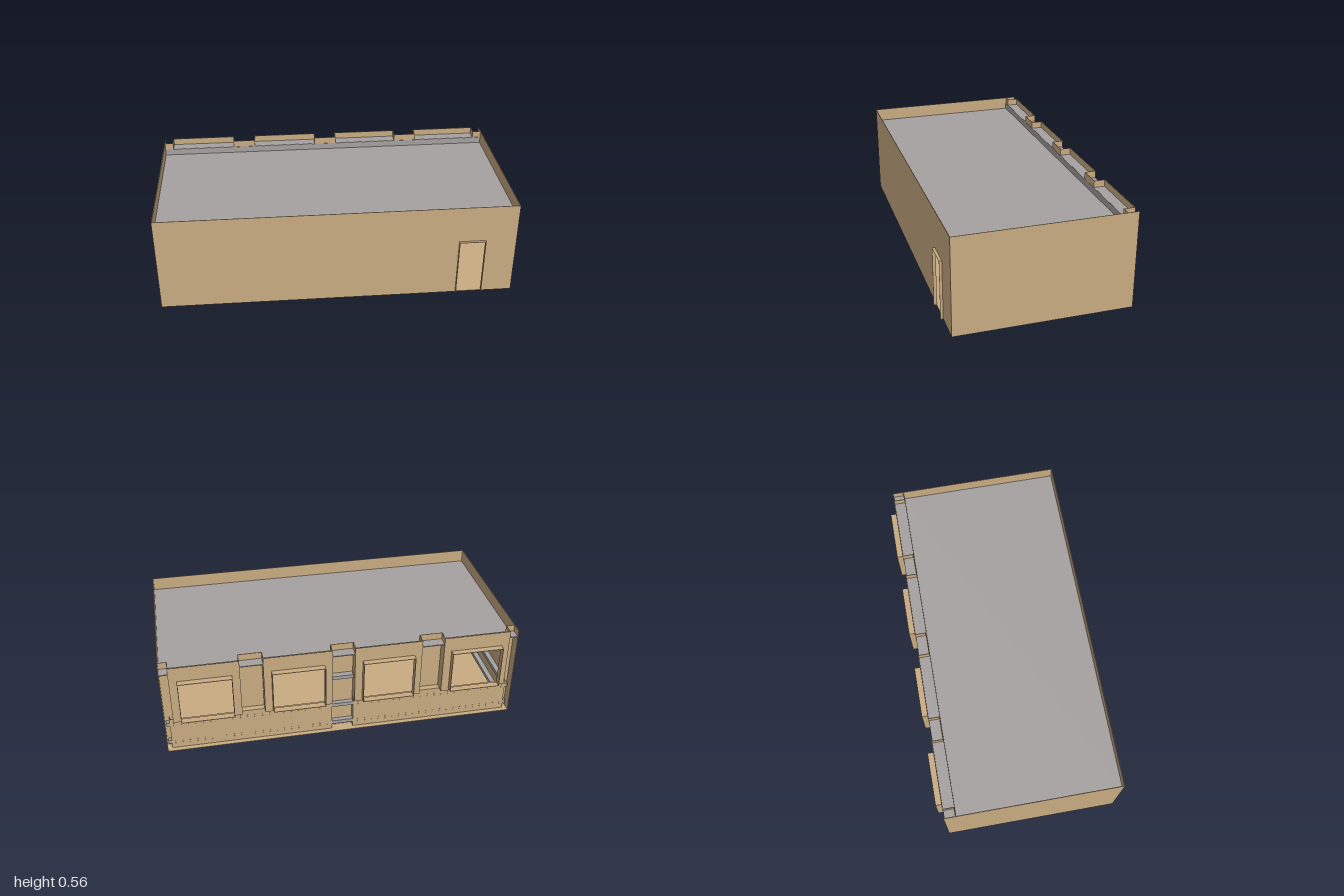
import * as THREE from 'three';

export function createModel() {
  const model = new THREE.Group();
  const tan = new THREE.MeshStandardMaterial({ color: 0xc9ab82, side: THREE.DoubleSide });
  tan.name = 'tan wall';
  const gray = new THREE.MeshStandardMaterial({ color: 0xa5a1a0, side: THREE.DoubleSide });
  gray.name = 'gray steel';

  const T = 0.003; // sheet thickness
  const FRONT = 0.505, BACK = -0.485, RECESS = -0.42, LOWER = -0.457, TOP = 0.56;
  const SILL = 0.2;

  // box given by its limits on each axis
  function block(name, mat, x0, x1, y0, y1, z0, z1) {
    const mesh = new THREE.Mesh(new THREE.BoxGeometry(x1 - x0, y1 - y0, z1 - z0), mat);
    mesh.position.set((x0 + x1) / 2, (y0 + y1) / 2, (z0 + z1) / 2);
    mesh.name = name;
    model.add(mesh);
    return mesh;
  }

  // upright sheet with an optional rectangular opening [x0, x1, y0, y1]
  function sheet(name, x0, x1, y0, y1, z, hole) {
    const rect = (P, a, b, c, d) => {
      const p = new P();
      p.moveTo(a, c);
      p.lineTo(b, c);
      p.lineTo(b, d);
      p.lineTo(a, d);
      p.closePath();
      return p;
    };
    const shape = rect(THREE.Shape, x0, x1, y0, y1);
    if (hole) shape.holes.push(rect(THREE.Path, ...hole));
    const mesh = new THREE.Mesh(new THREE.ExtrudeGeometry(shape, { depth: T, bevelEnabled: false }), tan);
    mesh.position.z = z;
    mesh.name = name;
    model.add(mesh);
  }

  // thin rectangular sleeve around an opening
  function sleeve(name, x0, x1, y0, y1, z0, z1, bottom) {
    block(name + 'Side', tan, x0, x0 + T, y0, y1, z0, z1);
    block(name + 'Side', tan, x1 - T, x1, y0, y1, z0, z1);
    block(name + 'Head', tan, x0, x1, y1 - T, y1, z0, z1);
    if (bottom) block(name + 'Sill', tan, x0, x1, y0, y0 + T, z0, z1);
  }

  // floor, side walls and roof
  block('floor', tan, -1, 1, 0, T, BACK, FRONT);
  for (const s of [-1, 1]) {
    const x = s * (1 - T / 2);
    block('sideWall', tan, x - T / 2, x + T / 2, 0, TOP, BACK, FRONT);
  }
  block('roof', gray, -1 + T, 1 - T, 0.477, 0.483, RECESS, FRONT - T);
  block('roofStep', gray, -1 + T, 1 - T, 0.477, 0.52, RECESS - 0.003, RECESS + 0.002);
  block('roofLedge', gray, -1 + T, 1 - T, 0.516, 0.521, BACK + T, RECESS);

  // front wall with doorway
  const L = 0.675, R = 0.825, H = 0.343;
  const front = new THREE.Shape();
  const outline = [[-1, 0], [L, 0], [L, H], [R, H], [R, 0], [1, 0], [1, TOP], [-1, TOP]];
  front.setFromPoints(outline.map(([x, y]) => new THREE.Vector2(x, y)));
  const frontWall = new THREE.Mesh(new THREE.ExtrudeGeometry(front, { depth: T, bevelEnabled: false }), tan);
  frontWall.position.z = FRONT - T;
  frontWall.name = 'frontWall';
  model.add(frontWall);
  sleeve('doorFrame', L, R, 0, H, FRONT - T, 0.52, false);

  // back wall: projecting panels with window openings
  for (const c of [-0.76, -0.253, 0.253, 0.76]) {
    const x0 = c - 0.19, x1 = c + 0.19;
    const w = [c - 0.147, c + 0.147, 0.215, 0.472];
    sheet('windowPanel', x0, x1, SILL, TOP, BACK, w);
    sleeve('windowFrame', ...w, -0.52, BACK + T, true);
    for (const x of [x0, x1 - T]) block('panelReturn', tan, x, x + T, SILL, TOP, BACK, RECESS);
    block('panelUnderside', tan, x0, x1, SILL, SILL + T, BACK, LOWER);
  }

  // recessed strips between the panels and at the corners
  for (const s of [-1, 1]) {
    const gap = (name, a, b, y) =>
      sheet(name, Math.min(s * a, s * b), Math.max(s * a, s * b), y, TOP, RECESS - T);
    gap('recessedStrip', 0.443, 0.57, SILL);
    gap('cornerStrip', 0.95, 1 - T, 0);
    const a = s * 0.443, b = s * 0.57;
    block('stripLedge', tan, Math.min(a, b), Math.max(a, b), SILL, SILL + T, LOWER, RECESS);

    // lower wall halves
    const p = s * 0.063, q = s * 0.97;
    sheet('lowerWall', Math.min(p, q), Math.max(p, q), 0, SILL + T, LOWER);
    for (const x of [p, q]) block('lowerReturn', tan, x - T / 2, x + T / 2, 0, SILL, LOWER, RECESS);
  }
  sheet('middleStrip', -0.063, 0.063, 0, TOP, RECESS - T);

  // steel rails along the back and side walls
  for (const y of [0.04, 0.163]) {
    block('backRail', gray, -0.99, 0.99, y - 0.011, y + 0.011, LOWER + 0.005, RECESS - 0.006);
    block('innerBackRail', gray, 0.07, 0.95, y - 0.011, y + 0.011, RECESS - 0.006, RECESS);
    block('innerBackRail', gray, -0.95, -0.07, y - 0.011, y + 0.011, RECESS - 0.006, RECESS);
    for (const s of [-1, 1]) {
      const x = s * 0.98;
      block('sideRail', gray, x - 0.015, x + 0.015, y - 0.011, y + 0.011, RECESS, FRONT - 0.01);
    }
  }
  block('middleRail', gray, -0.06, 0.06, 0.345, 0.367, LOWER, RECESS - T);

  // bolt rows on the lower wall
  const bolt = new THREE.CylinderGeometry(0.003, 0.003, 0.003, 6).rotateX(Math.PI / 2);
  const bolts = new THREE.Group();
  bolts.name = 'bolts';
  for (const y of [0.033, 0.047, 0.156, 0.17]) {
    for (let i = 0; i < 22; i++) {
      for (const s of [-1, 1]) {
        const mesh = new THREE.Mesh(bolt, tan);
        mesh.position.set(s * (0.09 + i * 0.041), y, LOWER - 0.001);
        mesh.name = 'bolt';
        bolts.add(mesh);
      }
    }
  }
  model.add(bolts);
  return model;
}
